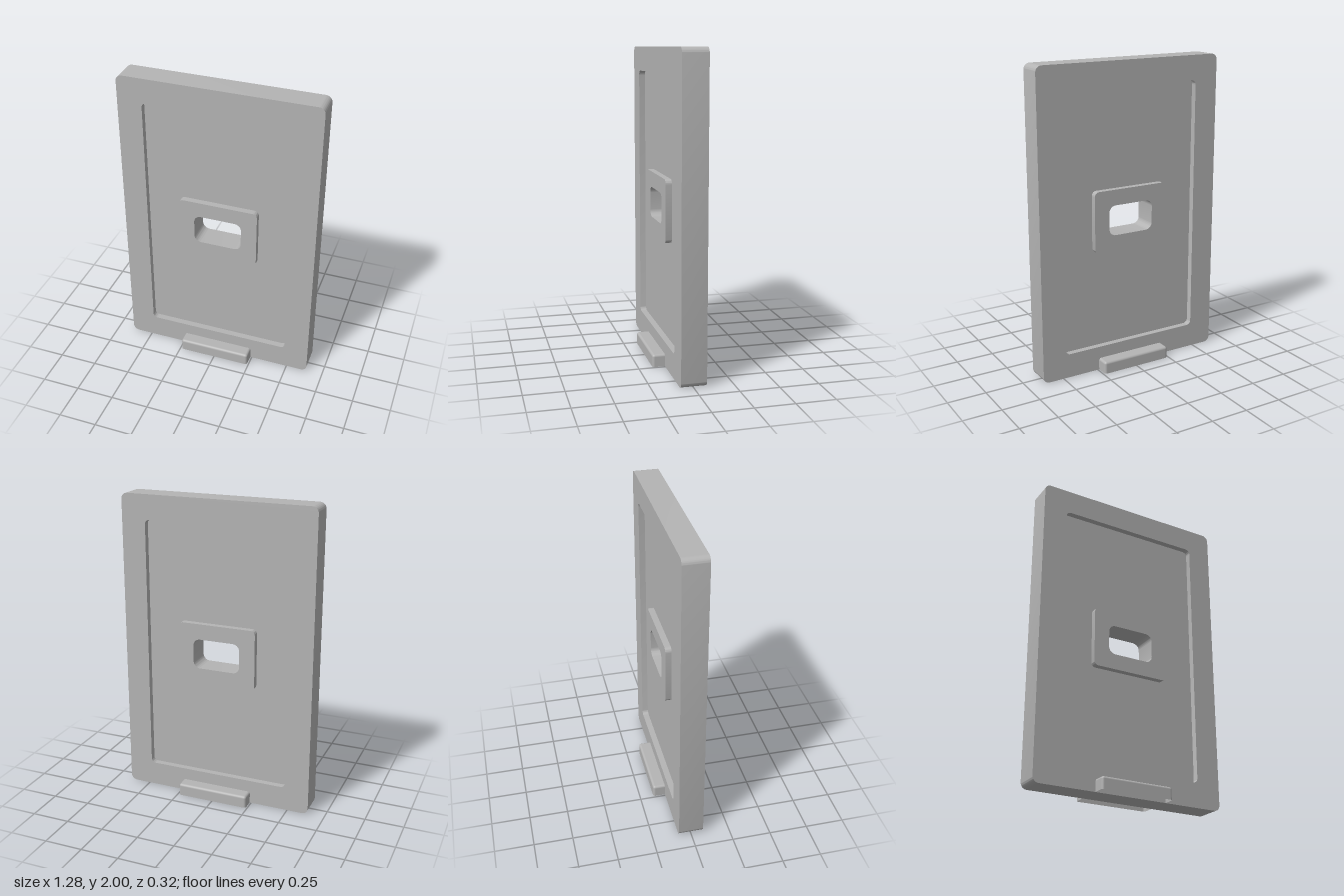
import * as THREE from 'three';
import { toCreasedNormals } from 'three/addons/utils/BufferGeometryUtils.js';
import { RoundedBoxGeometry } from 'three/addons/geometries/RoundedBoxGeometry.js';

// Rounded rectangle centred on (0, 1), given half width, half height and corner radius
function roundedRect(w, h, r) {
  const s = new THREE.Shape();
  s.absarc(w - r, 1 - h + r, r, -Math.PI / 2, 0);
  s.absarc(w - r, 1 + h - r, r, 0, Math.PI / 2);
  s.absarc(-w + r, 1 + h - r, r, Math.PI / 2, Math.PI);
  s.absarc(-w + r, 1 - h + r, r, Math.PI, Math.PI * 1.5);
  s.closePath();
  return s;
}

// Plate centred on z = 0 with one opening
function ring(outer, inner, depth) {
  const shape = roundedRect(...outer);
  shape.holes.push(roundedRect(...inner));
  const geo = new THREE.ExtrudeGeometry(shape, { depth, bevelEnabled: false, curveSegments: 8 });
  geo.translate(0, 0, -depth / 2);
  return toCreasedNormals(geo, 0.6);
}

// Rounded cover, cut off flat at y = 0 and open underneath
function openFoot(w, h, d, r) {
  const geo = new RoundedBoxGeometry(w, h * 2, d, 3, r).toNonIndexed();
  const src = { p: geo.attributes.position, n: geo.attributes.normal };
  const pos = [], nor = [];
  for (let i = 0; i < src.p.count; i += 3) {
    const ys = [0, 1, 2].map(k => Math.max(0, src.p.getY(i + k)));
    if (Math.max(...ys) < 1e-6) continue;
    for (let k = 0; k < 3; k++) {
      pos.push(src.p.getX(i + k), ys[k], src.p.getZ(i + k));
      nor.push(src.n.getX(i + k), src.n.getY(i + k), src.n.getZ(i + k));
    }
  }
  const out = new THREE.BufferGeometry();
  out.setAttribute('position', new THREE.Float32BufferAttribute(pos, 3));
  out.setAttribute('normal', new THREE.Float32BufferAttribute(nor, 3));
  return out;
}

export function createModel() {
  const group = new THREE.Group();
  const grey = new THREE.MeshStandardMaterial({ color: 0xb4b4b4, side: THREE.DoubleSide });
  grey.name = 'grey';

  const outline = [0.64, 1, 0.04];
  const recess = [0.48, 0.84, 0.03];
  const boss = [0.26, 0.2, 0.03];
  const slot = [0.157, 0.098, 0.045];

  const add = (name, geo) => {
    const mesh = new THREE.Mesh(geo, grey);
    mesh.name = name;
    group.add(mesh);
  };

  add('frame', ring(outline, recess, 0.16));
  add('recessedPanel', ring(recess, boss, 0.08)); // sunk on both faces
  add('slotBoss', ring(boss, slot, 0.16));
  add('foot', openFoot(0.48, 0.08, 0.32, 0.016));
  return group;
}
